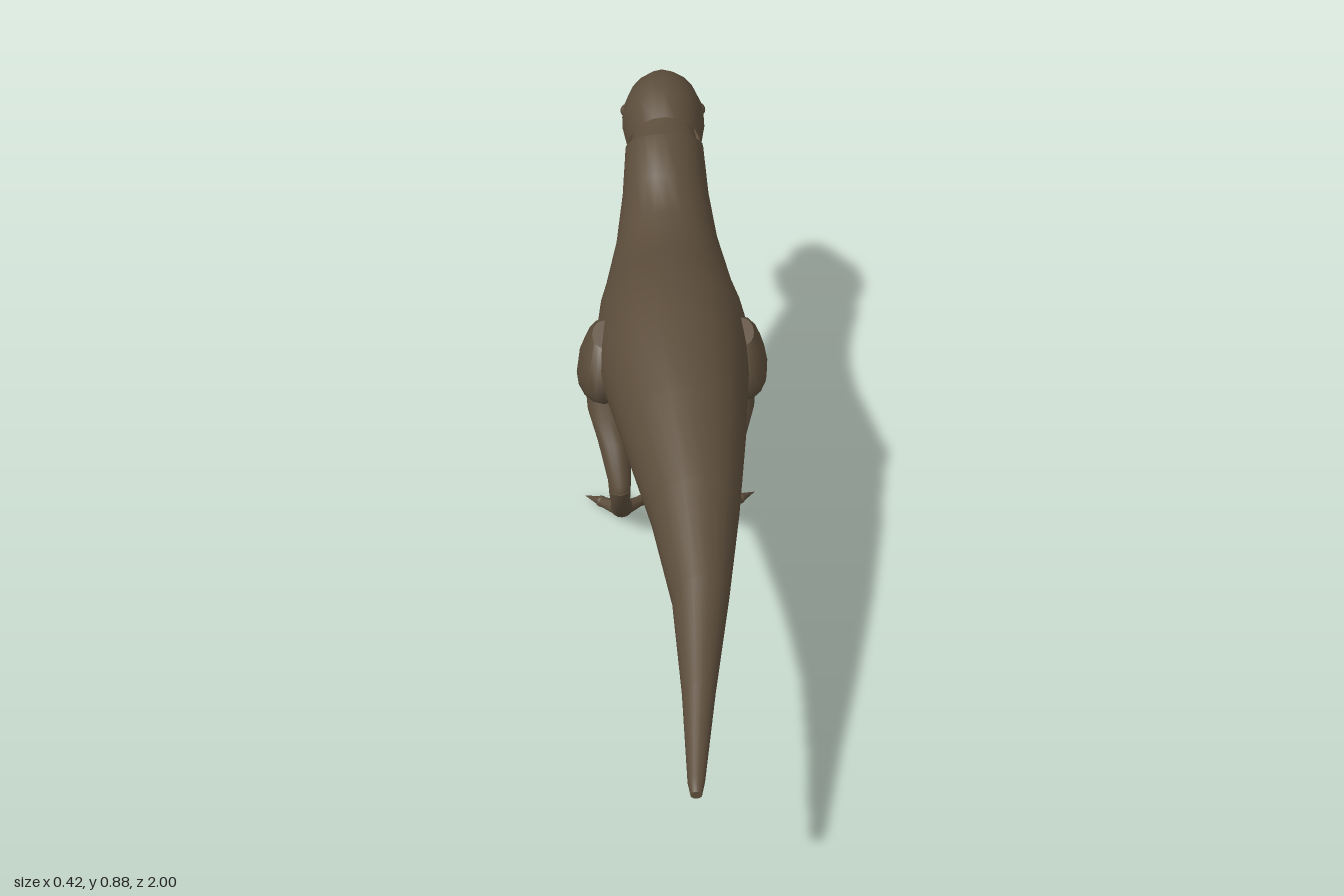
import * as THREE from 'three';

const skin = new THREE.MeshStandardMaterial({ color: 0x5c4d3b, side: THREE.DoubleSide });
skin.name = 'brown skin';
const ivory = new THREE.MeshStandardMaterial({ color: 0xcfc8b8 });
ivory.name = 'ivory teeth';

// Skin a row of rings. Each ring: [topZ, topY, bottomZ, bottomY, centreX, halfWidth].
// "split" is the height of the widest point between bottom (0) and top (1).
function loft(rings, { sides = 20, split = 0.5, capStart = true, capEnd = true } = {}) {
  const pos = [], idx = [];
  const ringPoints = ([tz, ty, bz, by, cx, hw]) => {
    const pts = [];
    for (let i = 0; i < sides; i++) {
      const t = (i / sides) * Math.PI * 2, c = Math.cos(t);
      const k = split + c * (c > 0 ? 1 - split : split);
      pts.push([cx + hw * Math.sin(t), by + (ty - by) * k, bz + (tz - bz) * k]);
    }
    return pts;
  };
  rings.forEach((r) => ringPoints(r).forEach((p) => pos.push(...p)));
  for (let j = 0; j < rings.length - 1; j++) {
    for (let i = 0; i < sides; i++) {
      const a = j * sides + i, b = j * sides + ((i + 1) % sides);
      idx.push(a, b, a + sides, b, b + sides, a + sides);
    }
  }
  const cap = (r, end) => {
    const base = pos.length / 3;
    ringPoints(r).forEach((p) => pos.push(...p));
    pos.push(r[4], (r[1] + r[3]) / 2, (r[0] + r[2]) / 2);
    for (let i = 0; i < sides; i++) {
      const a = base + i, b = base + ((i + 1) % sides);
      if (end) idx.push(a, b, base + sides);
      else idx.push(b, a, base + sides);
    }
  };
  if (capStart) cap(rings[0], false);
  if (capEnd) cap(rings[rings.length - 1], true);
  const g = new THREE.BufferGeometry();
  g.setAttribute('position', new THREE.Float32BufferAttribute(pos, 3));
  g.setIndex(idx);
  g.computeVertexNormals();
  return g;
}

function add(parent, name, geometry, material = skin) {
  const m = new THREE.Mesh(geometry, material);
  m.name = name;
  parent.add(m);
  return m;
}

// Tapered limb piece between two points
function taper(parent, name, from, to, r0, r1, material = skin, sides = 10) {
  const a = new THREE.Vector3(...from), b = new THREE.Vector3(...to);
  const d = b.clone().sub(a);
  const m = add(parent, name, new THREE.CylinderGeometry(r1, r0, d.length(), sides), material);
  m.position.copy(a).addScaledVector(d, 0.5);
  m.quaternion.setFromUnitVectors(new THREE.Vector3(0, 1, 0), d.normalize());
  return m;
}

function ball(parent, name, at, r) {
  add(parent, name, new THREE.SphereGeometry(r, 14, 10)).position.set(...at);
}

function buildHead() {
  const head = new THREE.Group();
  head.name = 'head';
  add(head, 'skullAndUpperJaw', loft([
    [-0.64, 0.84, -0.70, 0.69, 0, 0.085],
    [-0.70, 0.876, -0.76, 0.70, 0, 0.096],
    [-0.755, 0.88, -0.79, 0.71, 0, 0.096],
    [-0.81, 0.872, -0.83, 0.715, 0, 0.086],
    [-0.87, 0.845, -0.87, 0.705, 0, 0.065],
    [-0.95, 0.80, -0.95, 0.687, 0, 0.047],
    [-0.985, 0.775, -0.98, 0.682, 0, 0.034],
    [-1.0, 0.745, -0.995, 0.70, 0, 0.016],
  ], { split: 0.35, capStart: false }));
  add(head, 'lowerJaw', loft([
    [-0.70, 0.73, -0.70, 0.69, 0, 0.07],
    [-0.78, 0.71, -0.79, 0.645, 0, 0.076],
    [-0.86, 0.672, -0.86, 0.61, 0, 0.058],
    [-0.93, 0.64, -0.93, 0.592, 0, 0.042],
    [-0.965, 0.622, -0.96, 0.588, 0, 0.026],
    [-0.975, 0.612, -0.972, 0.60, 0, 0.012],
  ], { split: 0.75 }));
  const teeth = new THREE.Group();
  teeth.name = 'teeth';
  head.add(teeth);
  for (const s of [1, -1]) {
    ball(head, 'eye', [s * 0.084, 0.785, -0.78], 0.016);
    for (let i = 0; i < 9; i++) {
      const t = i / 8;
      // upper row hangs down, lower row points up
      const ux = s * (0.068 - 0.047 * t), uz = -0.82 - 0.16 * t, uy = 0.727 - 0.03 * t;
      taper(teeth, 'upperTooth', [ux, uy, uz], [ux, uy - 0.036, uz], 0.006, 0, ivory, 6);
      const lx = s * (0.06 - 0.043 * t), lz = -0.82 - 0.14 * t, ly = 0.68 - 0.064 * t;
      taper(teeth, 'lowerTooth', [lx, ly, lz], [lx, ly + 0.03, lz], 0.005, 0, ivory, 6);
    }
  }
  return head;
}

function buildLeg(s) {
  const leg = new THREE.Group();
  leg.name = s > 0 ? 'leftLeg' : 'rightLeg';
  // rings give front edge, back edge, centre x and half width
  const limb = (name, rings) => add(leg, name,
    loft(rings.map((r) => [r[0], r[1], r[2], r[3], s * r[4], r[5]]), { sides: 16 }));
  limb('thigh', [
    [-0.11, 0.645, -0.05, 0.615, 0.145, 0.025],
    [-0.155, 0.62, -0.01, 0.565, 0.145, 0.044],
    [-0.215, 0.565, 0.0, 0.51, 0.147, 0.056],
    [-0.25, 0.50, -0.07, 0.455, 0.149, 0.059],
    [-0.27, 0.435, -0.14, 0.41, 0.148, 0.053],
    [-0.285, 0.375, -0.195, 0.37, 0.143, 0.047],
    [-0.265, 0.345, -0.22, 0.35, 0.142, 0.03],
  ]);
  limb('shin', [
    [-0.28, 0.365, -0.195, 0.395, 0.143, 0.049],
    [-0.265, 0.325, -0.175, 0.335, 0.141, 0.047],
    [-0.215, 0.26, -0.14, 0.285, 0.13, 0.037],
    [-0.155, 0.195, -0.085, 0.21, 0.12, 0.026],
    [-0.14, 0.165, -0.09, 0.175, 0.12, 0.024],
  ]);
  limb('ankle', [
    [-0.15, 0.19, -0.085, 0.185, 0.12, 0.025],
    [-0.155, 0.165, -0.095, 0.15, 0.12, 0.024],
    [-0.18, 0.125, -0.125, 0.105, 0.118, 0.021],
    [-0.222, 0.07, -0.18, 0.05, 0.117, 0.026],
    [-0.25, 0.042, -0.205, 0.02, 0.117, 0.026],
  ]);
  // three spread toes, each with a pointed claw
  for (const [midX, tipX, midZ, tipZ] of [
    [0.07, 0.036, -0.265, -0.31], [0.116, 0.115, -0.275, -0.335], [0.165, 0.205, -0.265, -0.31],
  ]) {
    const mid = [s * midX, 0.021, midZ];
    taper(leg, 'toe', [s * 0.117, 0.036, -0.215], mid, 0.019, 0.012);
    ball(leg, 'toeKnuckle', mid, 0.0135);
    taper(leg, 'toeClaw', mid, [s * tipX, 0.003, tipZ], 0.012, 0);
  }
  return leg;
}

function buildArm(s) {
  const arm = new THREE.Group();
  arm.name = s > 0 ? 'leftArm' : 'rightArm';
  const elbow = [s * 0.088, 0.398, -0.27], wrist = [s * 0.08, 0.388, -0.335];
  taper(arm, 'upperArm', [s * 0.1, 0.45, -0.31], elbow, 0.024, 0.016);
  ball(arm, 'elbow', elbow, 0.016);
  taper(arm, 'forearm', elbow, wrist, 0.015, 0.01);
  ball(arm, 'hand', wrist, 0.012);
  for (const k of [-1, 1]) {
    taper(arm, 'fingerClaw', wrist, [s * (0.082 + k * 0.014), 0.384, -0.378], 0.008, 0);
  }
  return arm;
}

export function createModel() {
  const model = new THREE.Group();
  model.name = 'dinosaur';
  // tail, trunk and neck in one skin, from tail tip forward
  add(model, 'body', loft([
    [1.0, 0.43, 1.0, 0.413, 0.002, 0.01],
    [0.975, 0.441, 0.975, 0.41, 0.003, 0.015],
    [0.8, 0.49, 0.8, 0.428, 0.015, 0.03],
    [0.6, 0.558, 0.6, 0.438, 0.027, 0.053],
    [0.4, 0.628, 0.4, 0.44, 0.025, 0.086],
    [0.2, 0.69, 0.2, 0.435, 0.014, 0.122],
    [0.0, 0.738, 0.0, 0.415, 0.002, 0.153],
    [-0.14, 0.742, -0.17, 0.392, 0, 0.164],
    [-0.25, 0.722, -0.29, 0.373, 0, 0.157],
    [-0.33, 0.709, -0.38, 0.375, 0, 0.144],
    [-0.43, 0.715, -0.53, 0.478, 0, 0.117],
    [-0.52, 0.76, -0.65, 0.583, 0, 0.099],
    [-0.6, 0.82, -0.735, 0.675, 0, 0.09],
    [-0.64, 0.796, -0.75, 0.69, 0, 0.078],
    [-0.72, 0.82, -0.79, 0.725, 0, 0.065],
  ], { sides: 24 }));
  model.add(buildHead());
  for (const s of [1, -1]) model.add(buildLeg(s), buildArm(s));
  return model;
}
